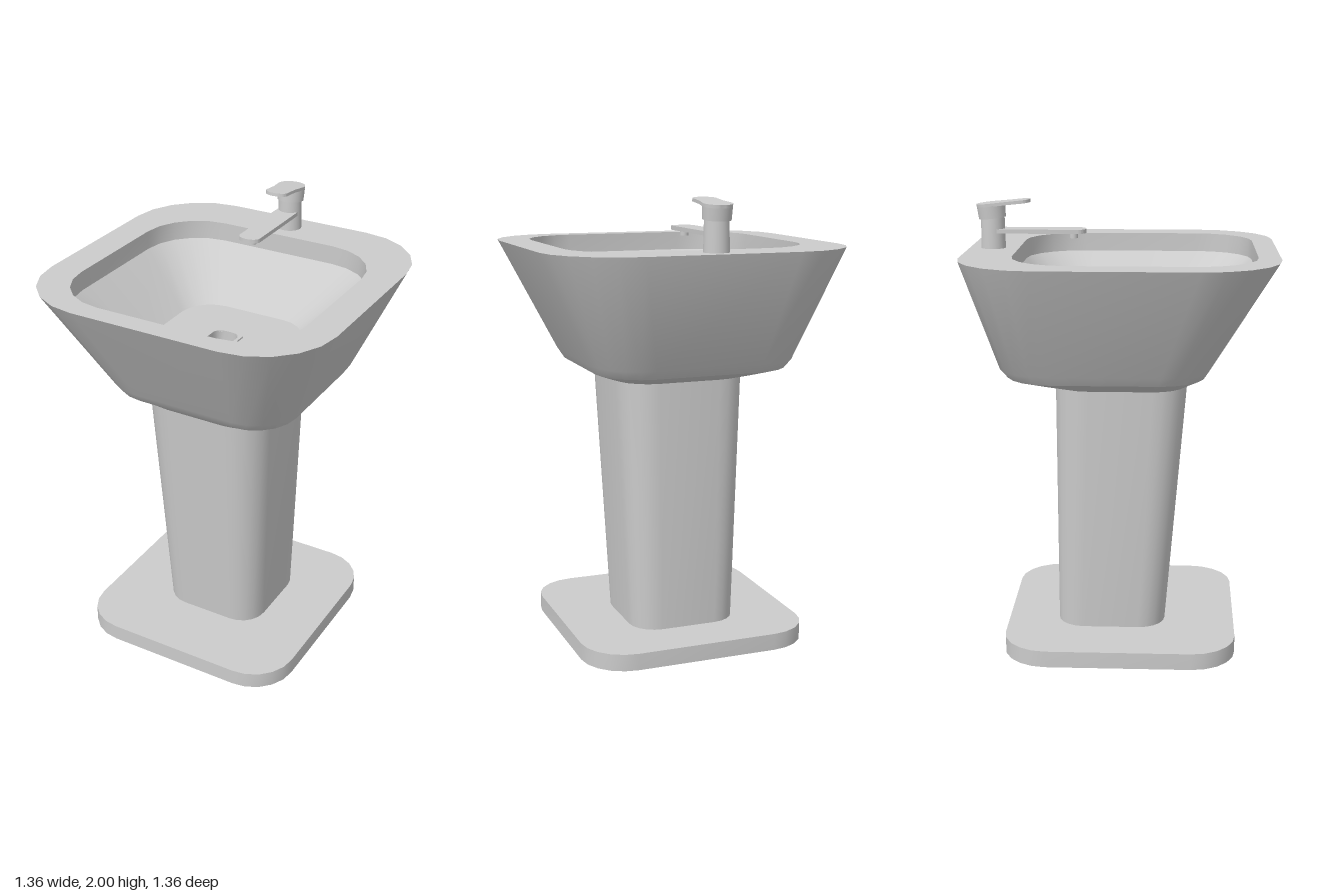
import * as THREE from 'three';
import { toCreasedNormals } from 'three/addons/utils/BufferGeometryUtils.js';

const material = new THREE.MeshStandardMaterial({ color: 0xcccccc });

function mesh(name, geometry) {
  const m = new THREE.Mesh(geometry, material);
  m.name = name;
  return m;
}

// Rounded-rectangle ring: height y, half width w, front z, back z, corner radius r
function ring([y, w, zf, zb, r], steps = 5) {
  const points = [];
  const corners = [[w - r, zf - r], [r - w, zf - r], [r - w, zb + r], [w - r, zb + r]];
  corners.forEach(([cx, cz], q) => {
    for (let i = 0; i <= steps; i++) {
      const a = (q + i / steps) * Math.PI / 2;
      points.push([cx + r * Math.cos(a), y, cz + r * Math.sin(a)]);
    }
  });
  return points;
}

// Skin a list of rings and cap both ends
function loft(sections, crease = 0.55) {
  const rings = sections.map((s) => ring(s));
  const n = rings[0].length;
  const positions = [];
  const tri = (a, b, c) => positions.push(...a, ...b, ...c);
  const centre = ([y, , zf, zb]) => [0, y, (zf + zb) / 2];
  const first = centre(sections[0]);
  const last = centre(sections[sections.length - 1]);
  for (let j = 0; j < n; j++) {
    const k = (j + 1) % n;
    for (let i = 0; i < rings.length - 1; i++) {
      const lo = rings[i], hi = rings[i + 1];
      tri(lo[j], hi[j], lo[k]);
      tri(lo[k], hi[j], hi[k]);
    }
    tri(first, rings[0][j], rings[0][k]);
    const top = rings[rings.length - 1];
    tri(last, top[k], top[j]);
  }
  const g = new THREE.BufferGeometry();
  g.setAttribute('position', new THREE.Float32BufferAttribute(positions, 3));
  return toCreasedNormals(g, crease);
}

// Flat bar lying in xz with round ends: half widths at back and front centres
function bar(zBack, rBack, zFront, rFront, thickness) {
  const s = new THREE.Shape();
  s.absarc(0, -zBack, rBack, 0, Math.PI, false);
  s.lineTo(-rFront, -zBack - rBack * 1.1);
  s.absellipse(0, -zFront, rFront, rFront * 0.7, Math.PI, Math.PI * 2, false, 0);
  s.lineTo(rFront, -zBack - rBack * 1.1);
  const g = new THREE.ExtrudeGeometry(s, { depth: thickness, bevelEnabled: false, curveSegments: 10 });
  return toCreasedNormals(g.rotateX(-Math.PI / 2), 0.5);
}

export function createModel() {
  const model = new THREE.Group();
  model.name = 'pedestalSink';

  // Floor plate and tapering column
  model.add(mesh('basePlate', loft([
    [0, 0.52, 0.52, -0.52, 0.2],
    [0.075, 0.52, 0.52, -0.52, 0.2],
  ])));
  model.add(mesh('column', loft([
    [0.07, 0.245, 0.2, -0.29, 0.12],
    [1.205, 0.292, 0.292, -0.292, 0.15],
  ])));

  // Basin: outside going up, rim, inside going down to the drain well
  model.add(mesh('basin', loft([
    [1.2, 0.29, 0.29, -0.29, 0.15],
    [1.23, 0.36, 0.325, -0.395, 0.17],
    [1.26, 0.43, 0.37, -0.495, 0.2],
    [1.3, 0.455, 0.395, -0.528, 0.215],
    [1.785, 0.68, 0.68, -0.68, 0.34],
    [1.785, 0.535, 0.585, -0.46, 0.26],
    [1.7, 0.535, 0.585, -0.46, 0.26],
    [1.48, 0.295, 0.345, -0.245, 0.15],
    [1.48, 0.06, 0.11, -0.01, 0.04],
    [1.42, 0.06, 0.055, -0.01, 0.03],
  ])));

  // Thin collar around the drain hole
  model.add(mesh('drainCollar', loft([
    [1.48, 0.075, 0.125, -0.03, 0.035],
    [1.487, 0.075, 0.125, -0.03, 0.035],
    [1.487, 0.06, 0.11, -0.01, 0.04],
    [1.425, 0.06, 0.056, -0.01, 0.03],
  ])));

  // Tap
  const tap = new THREE.Group();
  tap.name = 'tap';
  model.add(tap);
  const body = mesh('tapBody', new THREE.CylinderGeometry(0.052, 0.055, 0.15, 24));
  body.position.set(0, 1.855, -0.575);
  tap.add(body);

  const spout = mesh('spout', bar(-0.575, 0.048, -0.195, 0.05, 0.018));
  spout.position.y = 1.853;
  tap.add(spout);
  const nozzle = mesh('nozzle', new THREE.CylinderGeometry(0.018, 0.018, 0.025, 16));
  nozzle.position.set(0, 1.842, -0.217);
  tap.add(nozzle);

  // Tilted head with its flat lever
  const head = new THREE.Group();
  head.name = 'tapHead';
  head.position.set(0, 1.92, -0.577);
  head.rotation.x = -0.1;
  const cap = mesh('tapCap', new THREE.CylinderGeometry(0.063, 0.06, 0.055, 24));
  cap.position.y = 0.025;
  const lever = mesh('lever', bar(0, 0.063, 0.14, 0.052, 0.014));
  lever.position.y = 0.05;
  head.add(cap, lever);
  tap.add(head);

  return model;
}
